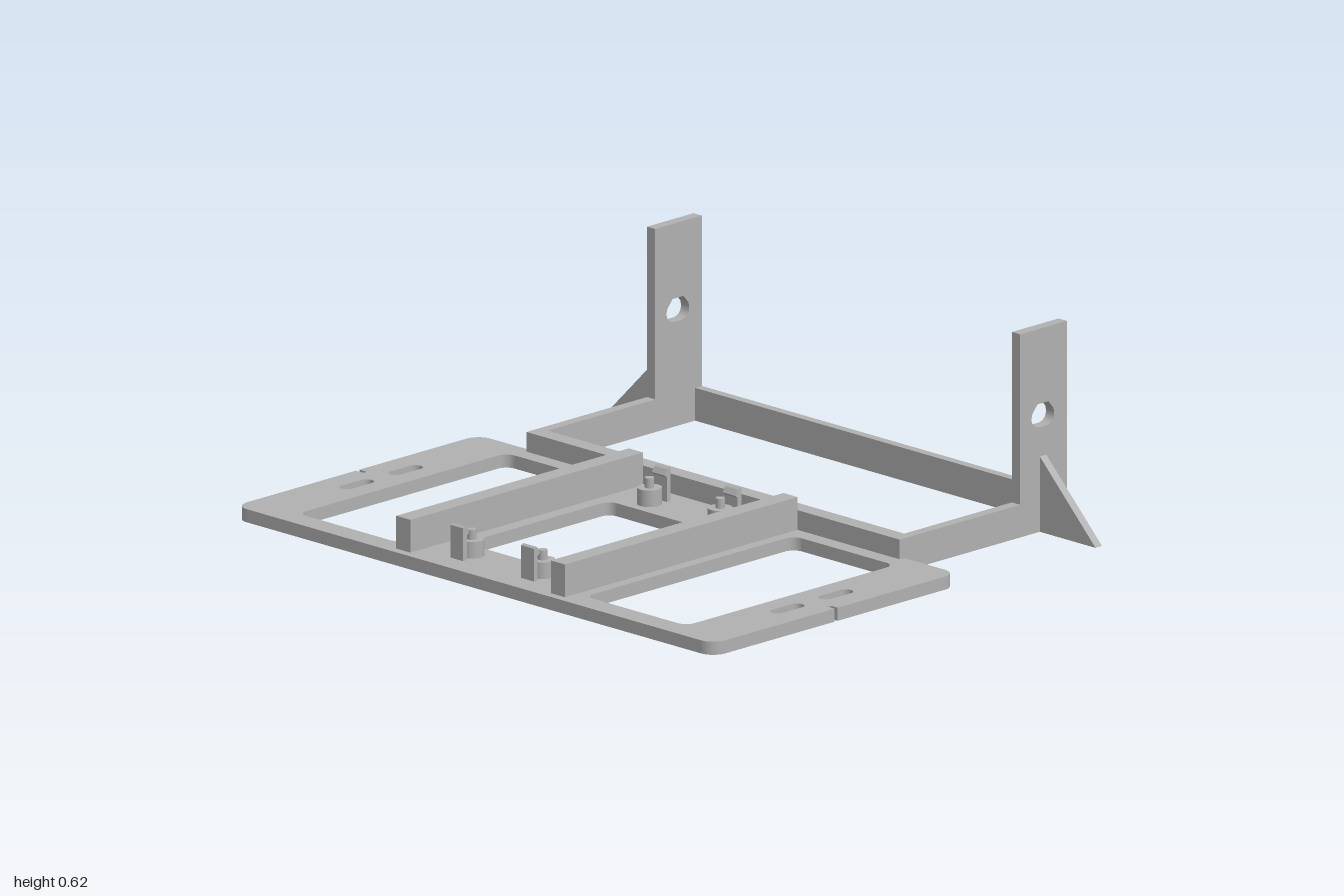
import * as THREE from 'three';

const grey = new THREE.MeshStandardMaterial({ color: 0xb0b0b0 });
grey.name = 'grey plastic';

function add(group, name, geometry) {
  const mesh = new THREE.Mesh(geometry, grey);
  mesh.name = name;
  group.add(mesh);
  return mesh;
}

// Box given by its limits on each axis
function box(group, name, x0, x1, y0, y1, z0, z1) {
  const g = new THREE.BoxGeometry(x1 - x0, y1 - y0, z1 - z0);
  return add(group, name, g.translate((x0 + x1) / 2, (y0 + y1) / 2, (z0 + z1) / 2));
}

// Rounded rectangle; an optional notch cuts into the middle of both ends
function roundRect(path, x0, x1, y0, y1, r, notch) {
  path.moveTo(x0 + r, y0);
  if (notch) {
    path.lineTo(notch.x - notch.w, y0);
    path.lineTo(notch.x - notch.w, y0 + notch.d);
    path.absarc(notch.x, y0 + notch.d, notch.w, Math.PI, 0, true);
    path.lineTo(notch.x + notch.w, y0);
  }
  path.lineTo(x1 - r, y0);
  path.absarc(x1 - r, y0 + r, r, -Math.PI / 2, 0);
  path.lineTo(x1, y1 - r);
  path.absarc(x1 - r, y1 - r, r, 0, Math.PI / 2);
  if (notch) {
    path.lineTo(notch.x + notch.w, y1);
    path.lineTo(notch.x + notch.w, y1 - notch.d);
    path.absarc(notch.x, y1 - notch.d, notch.w, 0, -Math.PI, true);
    path.lineTo(notch.x - notch.w, y1);
  }
  path.lineTo(x0 + r, y1);
  path.absarc(x0 + r, y1 - r, r, Math.PI / 2, Math.PI);
  path.lineTo(x0, y0 + r);
  path.absarc(x0 + r, y0 + r, r, Math.PI, Math.PI * 1.5);
  return path;
}

const extrude = (shape, depth) =>
  new THREE.ExtrudeGeometry(shape, { depth, bevelEnabled: false, curveSegments: 8 });

export function createModel() {
  const model = new THREE.Group();
  model.name = 'mountingBracket';

  // Base plate with three windows, four slots and two end notches
  const plate = roundRect(new THREE.Shape(), -0.842, 0.166, -0.987, 0.987, 0.05,
    { x: -0.334, w: 0.007, d: 0.024 });
  const hole = (...a) => plate.holes.push(roundRect(new THREE.Path(), ...a));
  hole(-0.634, -0.036, -0.246, 0.246, 0.03);
  for (const s of [-1, 1]) {
    const span = (a, b) => (s > 0 ? [a, b] : [-b, -a]);
    hole(-0.767, 0.095, ...span(0.384, 0.801), 0.035);
    hole(-0.498, -0.375, ...span(0.866, 0.91), 0.021);
    hole(-0.297, -0.173, ...span(0.866, 0.91), 0.021);
  }
  add(model, 'basePlate', extrude(plate, 0.04).rotateX(-Math.PI / 2));

  // Open frame beside the plate
  box(model, 'frameInnerBar', 0.147, 0.2, 0, 0.1, -0.77, 0.77);
  box(model, 'frameOuterBar', 0.81, 0.838, 0, 0.1, -0.736, 0.736);

  // Upright with its oval hole
  const upright = new THREE.Shape();
  upright.moveTo(0.645, 0);
  upright.lineTo(0.838, 0);
  upright.lineTo(0.838, 0.62);
  upright.lineTo(0.645, 0.62);
  upright.closePath();
  const oval = new THREE.Path();
  oval.moveTo(0.722, 0.32);
  oval.lineTo(0.757, 0.32);
  oval.quadraticCurveTo(0.786, 0.325, 0.786, 0.352);
  oval.lineTo(0.783, 0.366);
  oval.lineTo(0.762, 0.391);
  oval.lineTo(0.717, 0.391);
  oval.lineTo(0.696, 0.366);
  oval.lineTo(0.692, 0.352);
  oval.quadraticCurveTo(0.692, 0.325, 0.722, 0.32);
  upright.holes.push(oval);

  // Triangular gusset, drawn in (z, y)
  const fin = new THREE.Shape();
  fin.moveTo(0.77, 0);
  fin.lineTo(1, 0);
  fin.lineTo(0.77, 0.23);
  fin.closePath();

  for (const s of [-1, 1]) {
    const mid = s * 0.753;
    box(model, 'frameSideBar', 0.2, 0.645, 0, 0.1, mid - 0.017, mid + 0.017);
    add(model, 'upright', extrude(upright, 0.034).translate(0, 0, mid - 0.017));
    const gusset = add(model, 'gusset',
      extrude(fin, 0.027).translate(0, 0, -0.0135).rotateY(-s * Math.PI / 2));
    // Turning by -90 degrees sends the drawn x to +z, by +90 to -z
    gusset.position.x = 0.74;

    // Rail across the plate
    box(model, 'rail', -0.815, 0.147, 0.04, 0.14, s * 0.319 - 0.029, s * 0.319 + 0.029);

    // Standoffs with pins, each with a hooked clip on its outer side
    for (const [x, side] of [[-0.705, -1], [0.03, 1]]) {
      const mount = new THREE.Group();
      mount.name = 'standoffMount';
      mount.position.set(x, 0.04, s * 0.146);
      add(mount, 'post', new THREE.CylinderGeometry(0.037, 0.037, 0.05, 24).translate(0, 0.025, 0));
      add(mount, 'pin', new THREE.CylinderGeometry(0.014, 0.014, 0.03, 16).translate(0, 0.065, 0));
      const clip = new THREE.Shape();
      [[0.062, 0], [0.062, 0.1], [0.054, 0.105], [0.046, 0.1], [0.036, 0.083],
        [0.046, 0.075], [0.046, 0]].forEach(([a, b], i) =>
        i ? clip.lineTo(side * a, b) : clip.moveTo(side * a, b));
      add(mount, 'clip', extrude(clip, 0.052).translate(0, 0, -0.026));
      model.add(mount);
    }
  }
  return model;
}
